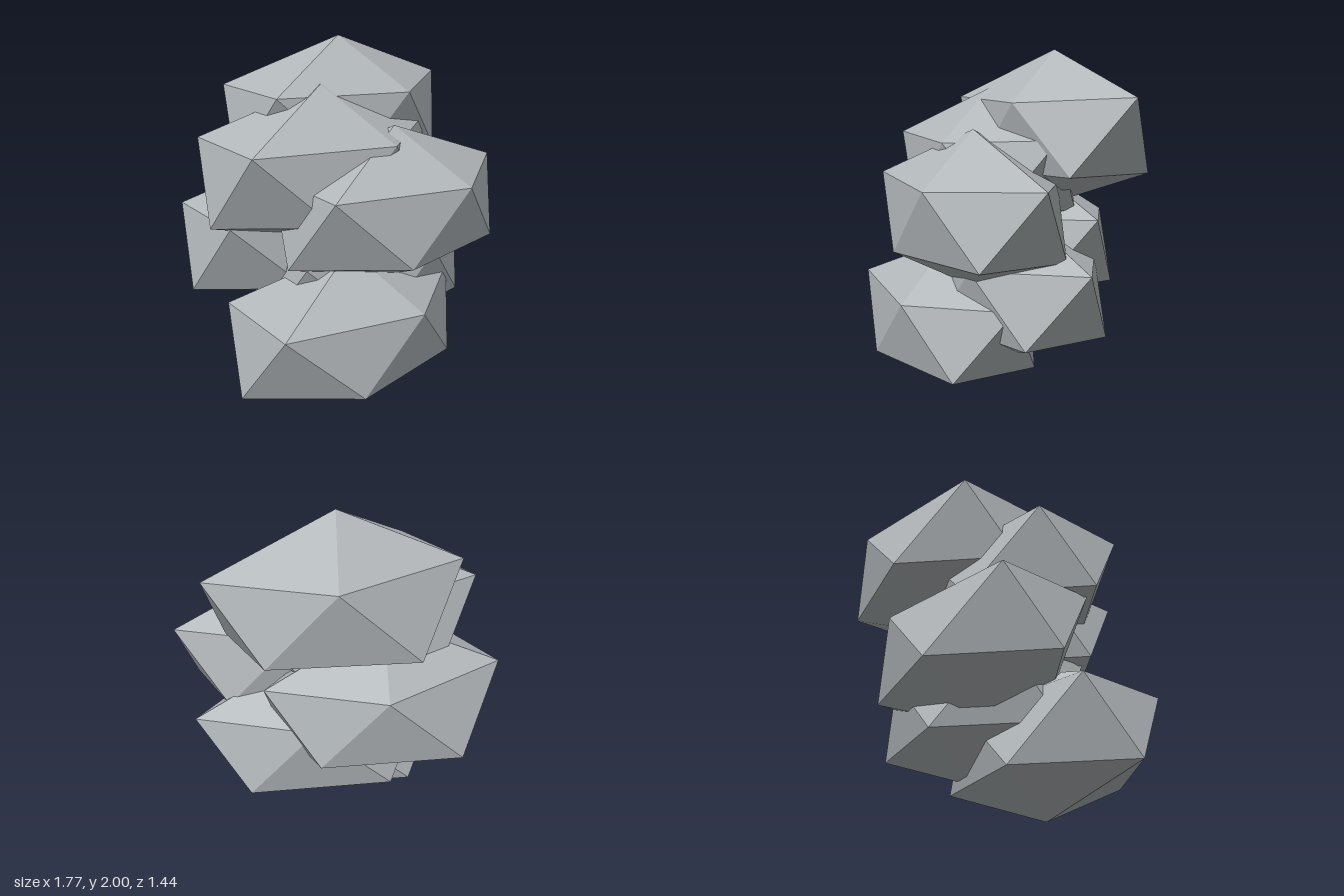
import * as THREE from 'three';
import { ConvexGeometry } from 'three/addons/geometries/ConvexGeometry.js';

// One faceted boulder: top, upper ring of five, lower ring of five, bottom
function boulderGeometry() {
  const corners = [
    [0, 0.445, 0],
    [0.75, 0.175, 0], [0.21, 0.145, 0.41], [-0.61, 0.175, 0.295],
    [-0.61, 0.175, -0.3], [0.21, 0.145, -0.42],
    [0.54, -0.235, 0.26], [-0.19, -0.235, 0.41], [-0.71, -0.25, 0],
    [-0.24, -0.27, -0.5], [0.54, -0.235, -0.26],
    [0, -0.445, 0],
  ];
  return new ConvexGeometry(corners.map(c => new THREE.Vector3(...c)));
}

export function createModel() {
  const group = new THREE.Group();
  group.name = 'boulderStack';

  const stone = new THREE.MeshStandardMaterial({ color: 0xb2b7ba, flatShading: true });
  stone.name = 'grey stone';
  const geometry = boulderGeometry();

  // Six boulders stepping down: x alternates, z cycles through three rows
  for (let i = 0; i < 6; i++) {
    const boulder = new THREE.Mesh(geometry, stone);
    boulder.name = `boulder${i + 1}`;
    boulder.position.set(
      i % 2 === 0 ? 0.13 : -0.178,
      1.555 - i * 0.222,
      -0.222 + (i % 3) * 0.266
    );
    group.add(boulder);
  }
  return group;
}
